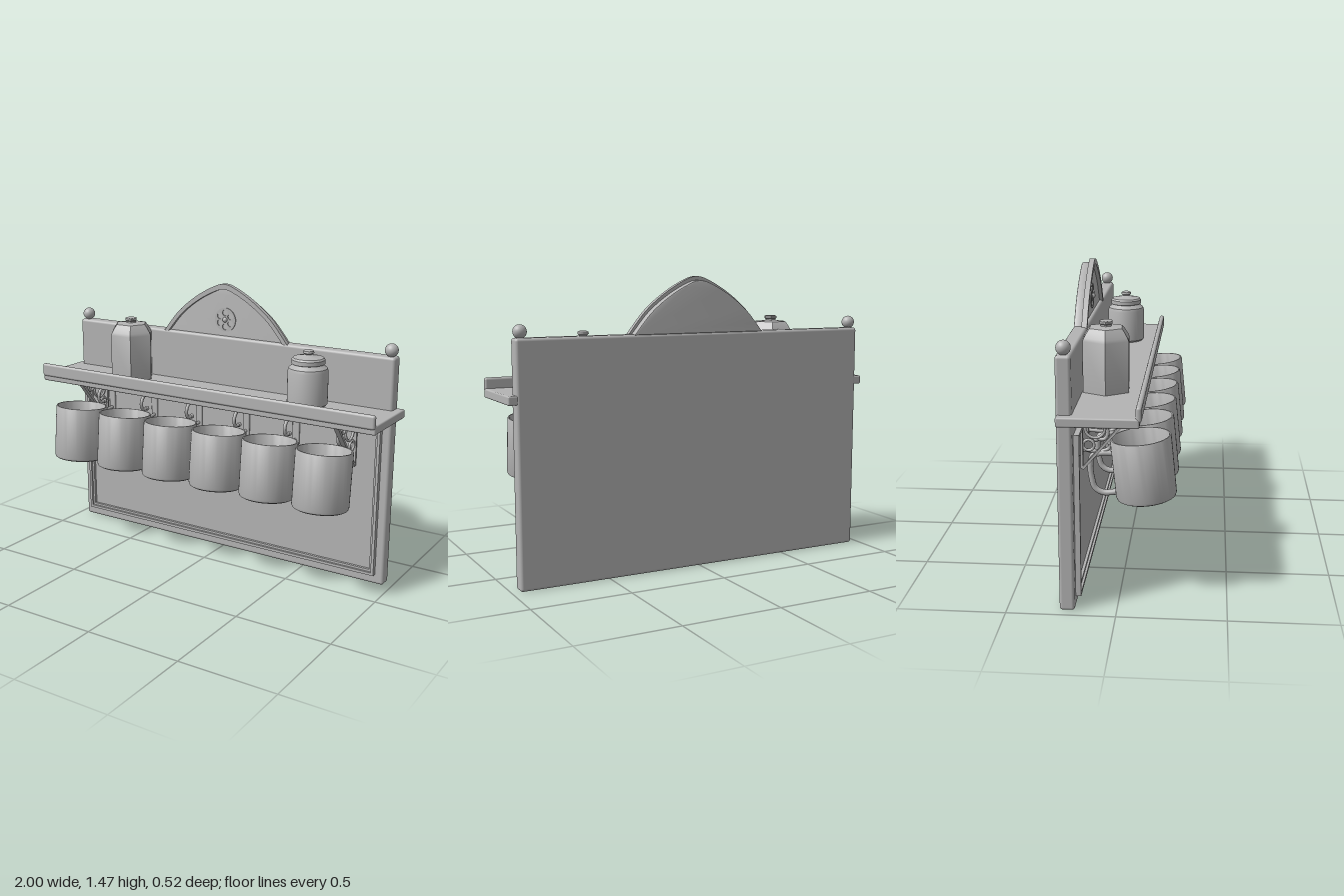
import * as THREE from 'three';
import { RoundedBoxGeometry } from 'three/addons/geometries/RoundedBoxGeometry.js';
import { toCreasedNormals } from 'three/addons/utils/BufferGeometryUtils.js';

export function createModel() {
  const root = new THREE.Group();
  const grey = new THREE.MeshStandardMaterial({ color: 0xb4b4b4 });
  grey.name = 'plain grey';

  const add = (name, geo, x = 0, y = 0, z = 0, parent = root) => {
    const m = new THREE.Mesh(geo, grey);
    m.name = name;
    m.position.set(x, y, z);
    parent.add(m);
    return m;
  };
  const lathe = (pts, seg = 40, crease = 0.6) => toCreasedNormals(
    new THREE.LatheGeometry(pts.map(p => new THREE.Vector2(...p)), seg), crease);
  const extrude = (shape, depth, bevel = 0) => toCreasedNormals(new THREE.ExtrudeGeometry(shape, {
    depth, curveSegments: 20, bevelEnabled: bevel > 0, bevelSize: bevel,
    bevelThickness: bevel, bevelOffset: -bevel, bevelSegments: 2 }), 0.6);
  // Tube through points given as [y, z] in the side plane
  const rod = (pts, r, seg = 36) => new THREE.TubeGeometry(
    new THREE.CatmullRomCurve3(pts.map(([y, z]) => new THREE.Vector3(0, y, z))), seg, r, 10);

  // Back board
  add('backBoard', new RoundedBoxGeometry(1.92, 1.19, 0.07, 3, 0.015), 0, 0.595, -0.225);

  // Stepped picture-frame moulding on the board
  const frame = (w, h, t, depth) => {
    const s = new THREE.Shape([[-w, -h], [w, -h], [w, h], [-w, h]].map(p => new THREE.Vector2(...p)));
    const a = w - t, b = h - t;
    s.holes.push(new THREE.Path([[-a, -b], [-a, b], [a, b], [a, -b]].map(p => new THREE.Vector2(...p))));
    return new THREE.ExtrudeGeometry(s, { depth, bevelEnabled: false });
  };
  add('frameMoulding', frame(0.915, 0.385, 0.015, 0.026), 0, 0.438, -0.191);
  add('frameInnerStep', frame(0.9, 0.37, 0.012, 0.015), 0, 0.438, -0.191);

  // Shelf with raised, rounded front lip
  add('shelf', new RoundedBoxGeometry(2, 0.044, 0.362, 3, 0.008), 0, 0.906, -0.076);
  add('shelfLip', new RoundedBoxGeometry(1.998, 0.07, 0.026, 3, 0.012), 0, 0.946, 0.102);

  // Curved crest with its trim
  const half = [[0.378, 1.185], [0.283, 1.3], [0.176, 1.386], [0.07, 1.446], [0, 1.466]];
  const arch = (s, t) => new THREE.SplineCurve([
    ...half.map(([x, y]) => [-x, y]), ...half.slice(0, -1).reverse(),
  ].map(([x, y]) => new THREE.Vector2(x * s, 1.185 + (y - 1.185) * t))).getPoints(48);
  add('crestPanel', extrude(new THREE.Shape(arch(0.96, 0.93)), 0.035, 0.006), 0, 0, -0.25);
  add('crestTrim', extrude(new THREE.Shape([...arch(1, 1), ...arch(0.93, 0.9).reverse()]), 0.027), 0, 0, -0.217);

  // Pierced rosette on the crest
  const disc = new THREE.Shape().absarc(0, 0, 0.063, 0, Math.PI * 2);
  for (let i = 0; i < 6; i++) {
    const a = i * Math.PI / 3 + Math.PI / 6;
    disc.holes.push(new THREE.Path().absarc(Math.cos(a) * 0.037, Math.sin(a) * 0.037, 0.016, 0, Math.PI * 2, true));
  }
  add('rosette', extrude(disc, 0.012), 0, 1.277, -0.216);
  add('rosetteCentre', new THREE.SphereGeometry(0.014, 16, 10), 0, 1.277, -0.205);

  // Ball finials
  for (const s of [-1, 1]) {
    add('finialBall', new THREE.SphereGeometry(0.033, 28, 18), s * 0.927, 1.219, -0.225);
    add('finialNeck', new THREE.CylinderGeometry(0.015, 0.02, 0.02, 20), s * 0.927, 1.19, -0.225);
  }

  // Six-sided canister
  const canister = add('hexCanister', lathe([[0, 0.928], [0.123, 0.928], [0.123, 1.17], [0.116, 1.185],
    [0.098, 1.212], [0.086, 1.226], [0.03, 1.232], [0.028, 1.238], [0.034, 1.244],
    [0.034, 1.254], [0.028, 1.257], [0, 1.257]], 6, 0.4), -0.523, 0, -0.083);
  canister.rotation.y = Math.PI / 6 + 0.06;

  // Round jar
  add('roundJar', lathe([[0, 0.928], [0.092, 0.928], [0.101, 0.937], [0.101, 1.1], [0.096, 1.116],
    [0.08, 1.128], [0.074, 1.134], [0.083, 1.137], [0.083, 1.158], [0.076, 1.167], [0.03, 1.176],
    [0.018, 1.182], [0.028, 1.19], [0.026, 1.2], [0.015, 1.205], [0, 1.206]]), 0.555, 0, -0.08);

  // Shelf brackets: diagonal brace with scrolls
  for (const s of [-1, 1]) {
    const b = new THREE.Group();
    b.name = 'shelfBracket';
    b.position.x = s * 0.777;
    root.add(b);
    const brace = add('brace', new THREE.BoxGeometry(0.026, 0.34, 0.012), 0, 0.753, -0.057, b);
    brace.rotation.x = Math.atan2(0.22, 0.258);
    add('wallBar', new THREE.BoxGeometry(0.026, 0.26, 0.01), 0, 0.755, -0.17, b);
    add('shelfBar', new THREE.BoxGeometry(0.026, 0.01, 0.22), 0, 0.88, -0.06, b);
    for (const [y, z, r] of [[0.815, -0.11, 0.045], [0.85, -0.035, 0.025], [0.735, -0.14, 0.025]])
      add('scroll', new THREE.TorusGeometry(r, 0.007, 8, 28), 0, y, z, b).rotation.y = Math.PI / 2;
  }

  // Mugs hanging from double hooks
  const mugGeo = lathe([[0, -0.146], [0.125, -0.146], [0.136, -0.14], [0.14, -0.128], [0.14, 0.14], [0.137, 0.146],
    [0.131, 0.146], [0.128, 0.14], [0.128, -0.12], [0.118, -0.132], [0, -0.132]], 48);
  const handleGeo = rod([[0.075, -0.13], [0.08, -0.19], [0.07, -0.228], [0.03, -0.243],
    [-0.04, -0.243], [-0.085, -0.233], [-0.11, -0.2], [-0.112, -0.13]], 0.014);
  const hookGeo = rod([[0.82, -0.17], [0.834, -0.11], [0.82, -0.072], [0.785, -0.056], [0.755, -0.07], [0.752, -0.105]], 0.009);
  const prongGeo = rod([[0.70, -0.185], [0.697, -0.13], [0.697, -0.08], [0.712, -0.05], [0.735, -0.045]], 0.009);
  for (let i = 0; i < 6; i++) {
    const x = (i - 2.5) * 0.2968;
    const mug = new THREE.Group();
    mug.name = 'mug';
    mug.position.set(x, 0.626, 0.108);
    mug.rotation.x = -0.1;
    root.add(mug);
    add('mugBody', mugGeo, 0, 0, 0, mug);
    add('mugHandle', handleGeo, 0, 0, 0, mug);

    const hook = new THREE.Group();
    hook.name = 'hook';
    hook.position.x = x;
    root.add(hook);
    add('hookPlate', new RoundedBoxGeometry(0.04, 0.17, 0.014, 2, 0.006), 0, 0.76, -0.184, hook);
    add('hookCurl', hookGeo, 0, 0, 0, hook);
    add('hookProng', prongGeo, 0, 0, 0, hook);
    add('curlTip', new THREE.SphereGeometry(0.013, 14, 10), 0, 0.752, -0.108, hook);
    add('prongTip', new THREE.SphereGeometry(0.013, 14, 10), 0, 0.737, -0.045, hook);
  }
  return root;
}
